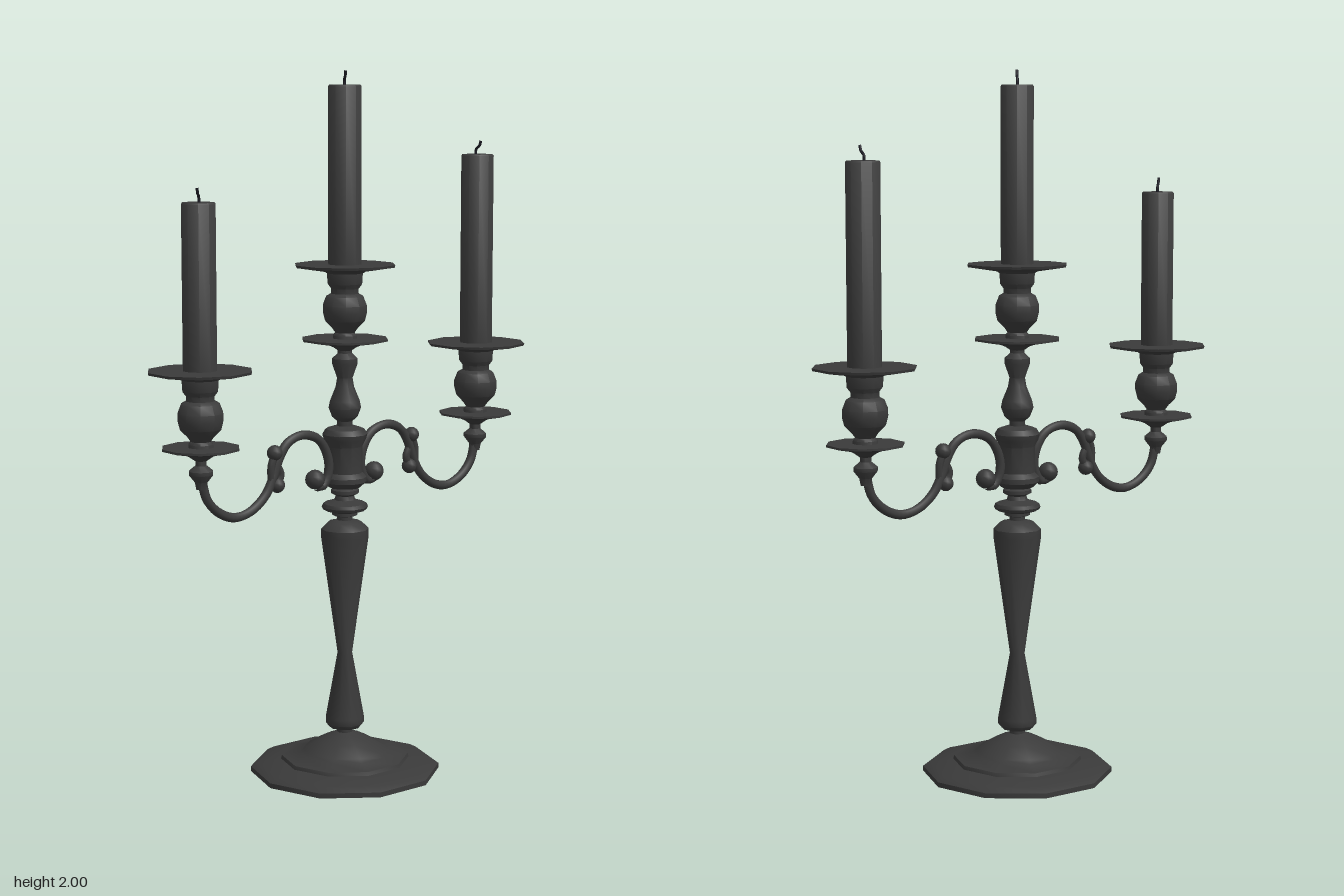
import * as THREE from 'three';
import { toCreasedNormals } from 'three/addons/utils/BufferGeometryUtils.js';

const SIDES = 10;
const metal = new THREE.MeshStandardMaterial({ color: 0x3a3a3a });
const wax = new THREE.MeshStandardMaterial({ color: 0x3c3c3c });
const wickMat = new THREE.MeshStandardMaterial({ color: 0x1c1c24 });

function add(parent, name, geometry, material = metal) {
  const mesh = new THREE.Mesh(geometry, material);
  mesh.name = name;
  parent.add(mesh);
  return mesh;
}

// Ten-sided turned part from [radius, height] pairs, bottom to top
function turned(parent, name, profile, phase = 0, material = metal) {
  const points = profile.map(([r, y]) => new THREE.Vector2(r, y));
  const geometry = new THREE.LatheGeometry(points, SIDES, phase);
  return add(parent, name, toCreasedNormals(geometry, 0.7), material);
}

function rod(parent, name, points, radius, segments, material = metal) {
  const curve = new THREE.CatmullRomCurve3(points.map(([x, y, z = 0]) => new THREE.Vector3(x, y, z)));
  return add(parent, name, new THREE.TubeGeometry(curve, segments, radius, 8), material);
}

function bead(parent, name, x, y, r) {
  add(parent, name, new THREE.SphereGeometry(r, 10, 8)).position.set(x, y, 0);
}

// Lower saucer, bulbous socket, drip pan, candle and wick; origin at the saucer rim
function candleHolder(name, saucerRadius, candleTop, wickAngle) {
  const g = new THREE.Group();
  g.name = name;
  turned(g, 'saucer', [[0, -0.035], [0.016, -0.035], [0.035, -0.022], [0.05, -0.016],
    [saucerRadius, -0.004], [saucerRadius, 0.002], [0.03, 0.002], [0, 0.002]]);
  turned(g, 'socket', [[0, 0], [0.035, 0], [0.035, 0.01], [0.028, 0.018], [0.038, 0.032],
    [0.058, 0.052], [0.064, 0.075], [0.064, 0.095], [0.054, 0.12], [0.04, 0.128],
    [0.04, 0.142], [0.05, 0.155], [0.052, 0.185], [0.06, 0.19], [0.06, 0.196], [0, 0.196]]);
  turned(g, 'dripPan', [[0, 0.188], [0.06, 0.19], [0.143, 0.203], [0.145, 0.21], [0, 0.21]]);
  turned(g, 'candle', [[0, 0.2], [0.048, 0.2], [0.048, candleTop - 0.004],
    [0.045, candleTop], [0, candleTop]], 0, wax);
  const wick = rod(g, 'wick', [[-0.008, candleTop - 0.005], [-0.006, candleTop + 0.015],
    [0.008, candleTop + 0.025], [0.014, candleTop + 0.04]], 0.004, 8, wickMat);
  wick.rotation.y = wickAngle;
  return g;
}

// Scrolled arm reaching out along +x
function arm(name) {
  const g = new THREE.Group();
  g.name = name;
  rod(g, 'scroll', [[0.107, 0.848], [0.085, 0.842], [0.066, 0.862], [0.058, 0.9], [0.07, 0.945],
    [0.1, 0.982], [0.155, 0.997], [0.205, 0.98], [0.235, 0.94], [0.255, 0.89], [0.285, 0.84],
    [0.335, 0.803], [0.39, 0.793], [0.445, 0.815], [0.482, 0.855], [0.498, 0.91]], 0.013, 56);
  bead(g, 'innerBead', 0.108, 0.866, 0.028);
  // Small curls where the two bends meet
  rod(g, 'upperCurl', [[0.262, 0.88], [0.262, 0.92], [0.25, 0.953]], 0.011, 8);
  bead(g, 'upperBead', 0.25, 0.957, 0.022);
  rod(g, 'lowerCurl', [[0.243, 0.925], [0.23, 0.895], [0.238, 0.872]], 0.011, 8);
  bead(g, 'lowerBead', 0.242, 0.866, 0.022);
  // Knop carrying the saucer
  const knop = turned(g, 'knop', [[0, 0.885], [0.014, 0.885], [0.018, 0.905], [0.034, 0.925], [0.034, 0.935],
    [0.016, 0.95], [0.016, 0.967], [0, 0.97]]);
  knop.position.x = 0.5;
  return g;
}

export function createModel() {
  const model = new THREE.Group();
  model.name = 'candelabra';
  const phase = Math.PI / 2;

  turned(model, 'base', [[0, 0], [0.272, 0], [0.272, 0.014], [0.25, 0.026], [0.185, 0.036],
    [0.182, 0.046], [0.13, 0.056], [0.12, 0.066], [0.075, 0.092], [0.045, 0.107],
    [0.022, 0.115], [0.022, 0.13], [0, 0.13]], phase);
  turned(model, 'column', [[0, 0.125], [0.045, 0.13], [0.055, 0.142], [0.055, 0.16], [0.021, 0.35],
    [0.068, 0.69], [0.068, 0.712], [0.048, 0.732], [0.024, 0.738], [0, 0.738]], phase);
  turned(model, 'collar', [[0.022, 0.73], [0.022, 0.748], [0.036, 0.752], [0.036, 0.76],
    [0.062, 0.768], [0.066, 0.776], [0.062, 0.786], [0.03, 0.796], [0.026, 0.808],
    [0.04, 0.815], [0.04, 0.825], [0.025, 0.835]], phase);
  turned(model, 'hub', [[0, 0.828], [0.045, 0.832], [0.062, 0.848], [0.062, 0.862], [0.05, 0.875],
    [0.05, 0.95], [0.06, 0.97], [0.064, 0.985], [0.055, 1.0], [0.03, 1.008], [0, 1.01]], phase);
  turned(model, 'upperStem', [[0.022, 1.0], [0.022, 1.022], [0.036, 1.034], [0.046, 1.06],
    [0.042, 1.08], [0.026, 1.12], [0.022, 1.145], [0.036, 1.185], [0.036, 1.2],
    [0.02, 1.215], [0.02, 1.232], [0, 1.232]], phase);

  const centre = candleHolder('centreHolder', 0.124, 0.705, -2.1);
  centre.position.y = 1.255;
  model.add(centre);

  // Side arms, mirrored by a half turn
  const leftArm = arm('leftArm');
  const rightArm = arm('rightArm');
  rightArm.rotation.y = Math.PI;
  model.add(leftArm, rightArm);

  const left = candleHolder('leftHolder', 0.108, 0.76, -Math.PI / 2);
  left.position.set(0.5, 0.998, 0);
  const right = candleHolder('rightHolder', 0.108, 0.657, -2.4);
  right.position.set(-0.5, 0.998, 0);
  model.add(left, right);

  return model;
}
